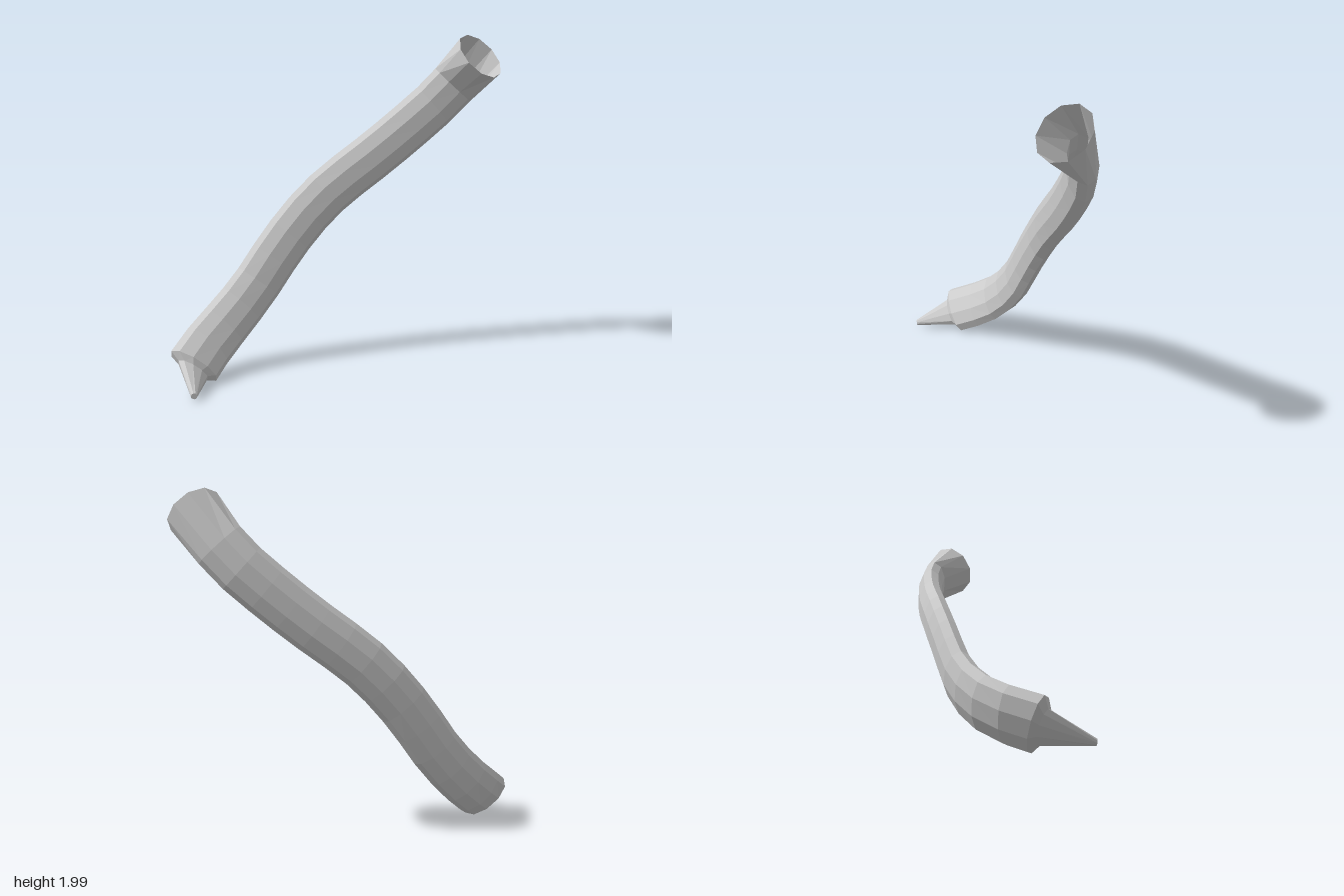
import * as THREE from 'three';

const SIDES = 10;
const WIDE = new THREE.Vector3(-0.72, 0.69, 0); // broad direction of the flattened section
const V = (x, y, z) => new THREE.Vector3(x, y, z);

// Elliptical ring around a centre, square to the given direction
function ring(center, direction, a, b) {
  const t = direction.clone().normalize();
  const u = WIDE.clone().addScaledVector(t, -WIDE.dot(t)).normalize();
  const v = t.clone().cross(u);
  return Array.from({ length: SIDES }, (_, i) => {
    const k = (i / SIDES) * Math.PI * 2;
    return center.clone().addScaledVector(u, a * Math.cos(k)).addScaledVector(v, b * Math.sin(k));
  });
}

// Skin over successive rings, ordered along their direction
function loft(name, rings, material) {
  const pos = [];
  const tri = (...pts) => pts.forEach((p) => pos.push(p.x, p.y, p.z));
  for (let i = 0; i < rings.length - 1; i++) {
    for (let j = 0; j < SIDES; j++) {
      const k = (j + 1) % SIDES;
      const a = rings[i][j], b = rings[i][k], c = rings[i + 1][k], d = rings[i + 1][j];
      tri(a, b, c);
      tri(a, c, d);
    }
  }
  const geo = new THREE.BufferGeometry();
  geo.setAttribute('position', new THREE.Float32BufferAttribute(pos, 3));
  geo.computeVertexNormals();
  const mesh = new THREE.Mesh(geo, material);
  mesh.name = name;
  return mesh;
}

export function createModel() {
  const group = new THREE.Group();
  group.name = 'curvedHorn';
  const material = new THREE.MeshStandardMaterial({
    color: 0xcccccc, flatShading: true, side: THREE.DoubleSide,
  });

  // Centre line from the lower front end to the upper neck
  const path = new THREE.CatmullRomCurve3([
    V(-0.89, 0.13, 0.14), V(-0.79, 0.22, -0.02), V(-0.69, 0.31, -0.11),
    V(-0.53, 0.48, -0.2), V(-0.31, 0.78, -0.27), V(-0.08, 1.03, -0.315),
    V(0.31, 1.33, -0.342), V(0.64, 1.61, -0.34), V(0.725, 1.705, -0.32),
  ]);
  const lowerAim = V(-0.35, -0.55, 0.75);
  const steps = 14;
  const body = [];
  for (let i = 0; i <= steps; i++) {
    const s = i / steps;
    const aim = i === 0 ? lowerAim.clone().negate() : path.getTangentAt(s);
    body.push(ring(path.getPointAt(s), aim, 0.15 + 0.012 * Math.max(0, 1 - s * 4), 0.079));
  }
  group.add(loft('body', body, material));

  // Open flared mouth, sharing the last ring of the body
  const mouth = ring(V(0.86, 1.885, -0.19), V(0.48, 0.64, 0.6), 0.163, 0.163);
  group.add(loft('flaredMouth', [body[steps], mouth], material));

  // Sloping shoulder and tapered nozzle at the lower end, closed at the tip
  const endRing = ring(path.getPointAt(0), lowerAim, 0.162, 0.079);
  const nozzleBase = ring(V(-0.895, 0.115, 0.168), lowerAim, 0.103, 0.055);
  const tipCenter = V(-0.888, 0.052, 0.418);
  const tipAim = V(0, -0.1, 1);
  const tip = ring(tipCenter, tipAim, 0.018, 0.018);
  group.add(loft('endShoulder', [endRing, nozzleBase], material));
  group.add(loft('nozzle', [nozzleBase, tip, ring(tipCenter, tipAim, 0.0005, 0.0005)], material));

  return group;
}
